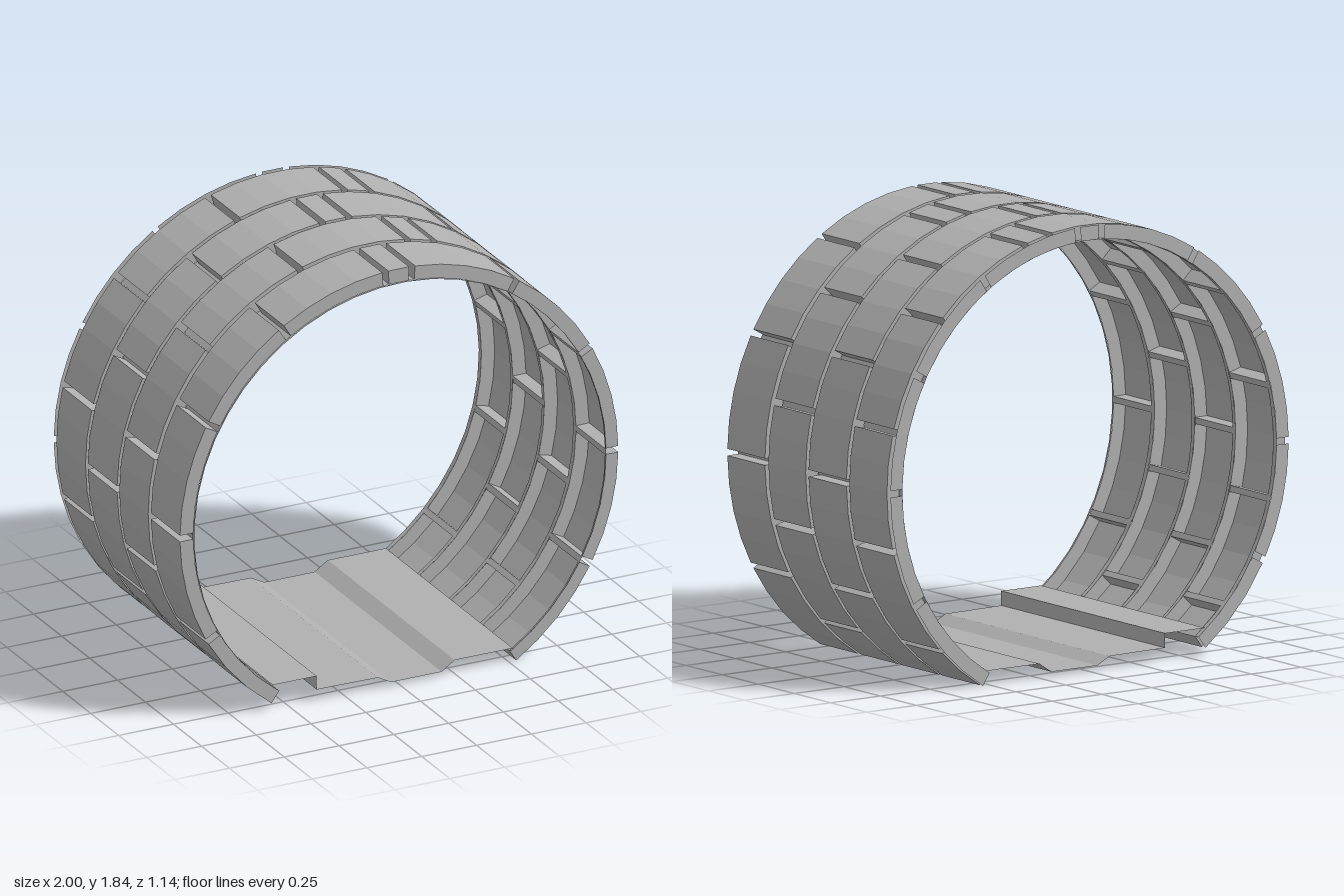
import * as THREE from 'three';

const CY = 0.845, R_OUT = 1.0, R_IN = 0.94;
const START = -57.7, END = 234.4, GAP = 1.6, STEP = 7.3;

const stone = new THREE.MeshStandardMaterial({ color: 0xb0b0b0, flatShading: true, side: THREE.DoubleSide });
stone.name = 'grey stone';

// Point on the tunnel wall at an angle in degrees
function at(deg, r, z) {
  const a = THREE.MathUtils.degToRad(deg);
  return [r * Math.cos(a), CY + r * Math.sin(a), z];
}

function quad(out, a, b, c, d) {
  out.push(...a, ...b, ...c, ...a, ...c, ...d);
}

function makeMesh(name, pos) {
  const g = new THREE.BufferGeometry();
  g.setAttribute('position', new THREE.Float32BufferAttribute(pos, 3));
  g.computeVertexNormals();
  const m = new THREE.Mesh(g, stone);
  m.name = name;
  return m;
}

// Calls fn for each short facet of an arc
function facets(a0, a1, fn) {
  const n = Math.max(1, Math.round((a1 - a0) / STEP));
  for (let i = 0; i < n; i++) {
    fn(a0 + ((a1 - a0) * i) / n, a0 + ((a1 - a0) * (i + 1)) / n);
  }
}

// Curved strip at one radius, facing outward
function arcSheet(out, a0, a1, r, z0, z1) {
  facets(a0, a1, (p, q) => quad(out, at(p, r, z0), at(q, r, z0), at(q, r, z1), at(p, r, z1)));
  return out;
}

// Flat ring wall between the inner and outer radius, facing +z or -z
function arcWall(out, a0, a1, z, dir) {
  facets(a0, a1, (p, q) => {
    const c = [at(p, R_IN, z), at(p, R_OUT, z), at(q, R_OUT, z), at(q, R_IN, z)];
    if (dir < 0) c.reverse();
    quad(out, ...c);
  });
  return out;
}

// Hollow brick: curved top, two side walls, two end walls, open inside
function brick(a0, a1, z0, z1) {
  const p = [];
  arcSheet(p, a0, a1, R_OUT, z0, z1);
  arcWall(p, a0, a1, z1, 1);
  arcWall(p, a0, a1, z0, -1);
  quad(p, at(a0, R_IN, z0), at(a0, R_OUT, z0), at(a0, R_OUT, z1), at(a0, R_IN, z1));
  quad(p, at(a1, R_IN, z1), at(a1, R_OUT, z1), at(a1, R_OUT, z0), at(a1, R_IN, z0));
  return makeMesh('brick', p);
}

// Angles where neighbouring bricks meet, in the two alternating patterns
const JOINTS_KEYED = [-28.8, 0, 28.8, 57.5, 86.6, 93.6, 122.5, 151.2, 180, 208.8];
const JOINTS_OFFSET = [-43.2, -14.4, 14.4, 43.2, 72.2, 79.4, 108, 136.8, 165.6, 194.4, 223.2];

function spans(joints) {
  const starts = [START, ...joints.map((j) => j + GAP / 2)];
  const ends = [...joints.map((j) => j - GAP / 2), END];
  return starts.map((s, i) => [s, ends[i]]);
}

const ROWS = [
  { z0: 0.298, z1: 0.558, joints: JOINTS_KEYED },
  { z0: 0.016, z1: 0.274, joints: JOINTS_OFFSET },
  { z0: -0.266, z1: -0.004, joints: JOINTS_KEYED },
  { z0: -0.546, z1: -0.286, joints: JOINTS_OFFSET },
];

export function createModel() {
  const model = new THREE.Group();
  model.name = 'brickTunnel';

  // Brick courses with mortar in the cross joints
  const mortar = [];
  ROWS.forEach(({ z0, z1, joints }, i) => {
    const row = new THREE.Group();
    row.name = `brickRow${i + 1}`;
    for (const [a0, a1] of spans(joints)) row.add(brick(a0, a1, z0, z1));
    for (const j of joints) arcSheet(mortar, j - GAP / 2, j + GAP / 2, R_IN, z0, z1);
    model.add(row);
  });

  // Mortar rings between courses and at both mouths
  const rings = [[0.558, 0.568], [0.274, 0.298], [-0.004, 0.016], [-0.286, -0.266], [-0.57, -0.546]];
  for (const [z0, z1] of rings) arcSheet(mortar, START, END, R_IN, z0, z1);
  model.add(makeMesh('mortar', mortar));

  // Thin rim at the back mouth, notched at the joints
  const rim = [];
  for (const [a0, a1] of spans(JOINTS_KEYED)) arcWall(rim, a0, a1, -0.57, 1);
  model.add(makeMesh('backRim', rim));

  // Floor sheet with a raised walkway and a shallow channel
  const profile = [
    [-0.58, 0.115], [-0.38, 0.115], [-0.38, 0.055], [-0.1, 0.052],
    [-0.04, 0.02], [0.19, 0.02], [0.25, 0.06], [0.515, 0.06],
  ];
  const floor = [];
  for (let i = 0; i < profile.length - 1; i++) {
    const [p, q] = [profile[i], profile[i + 1]];
    quad(floor, [...p, 0.565], [...q, 0.565], [...q, -0.57], [...p, -0.57]);
  }
  model.add(makeMesh('floor', floor));

  return model;
}
